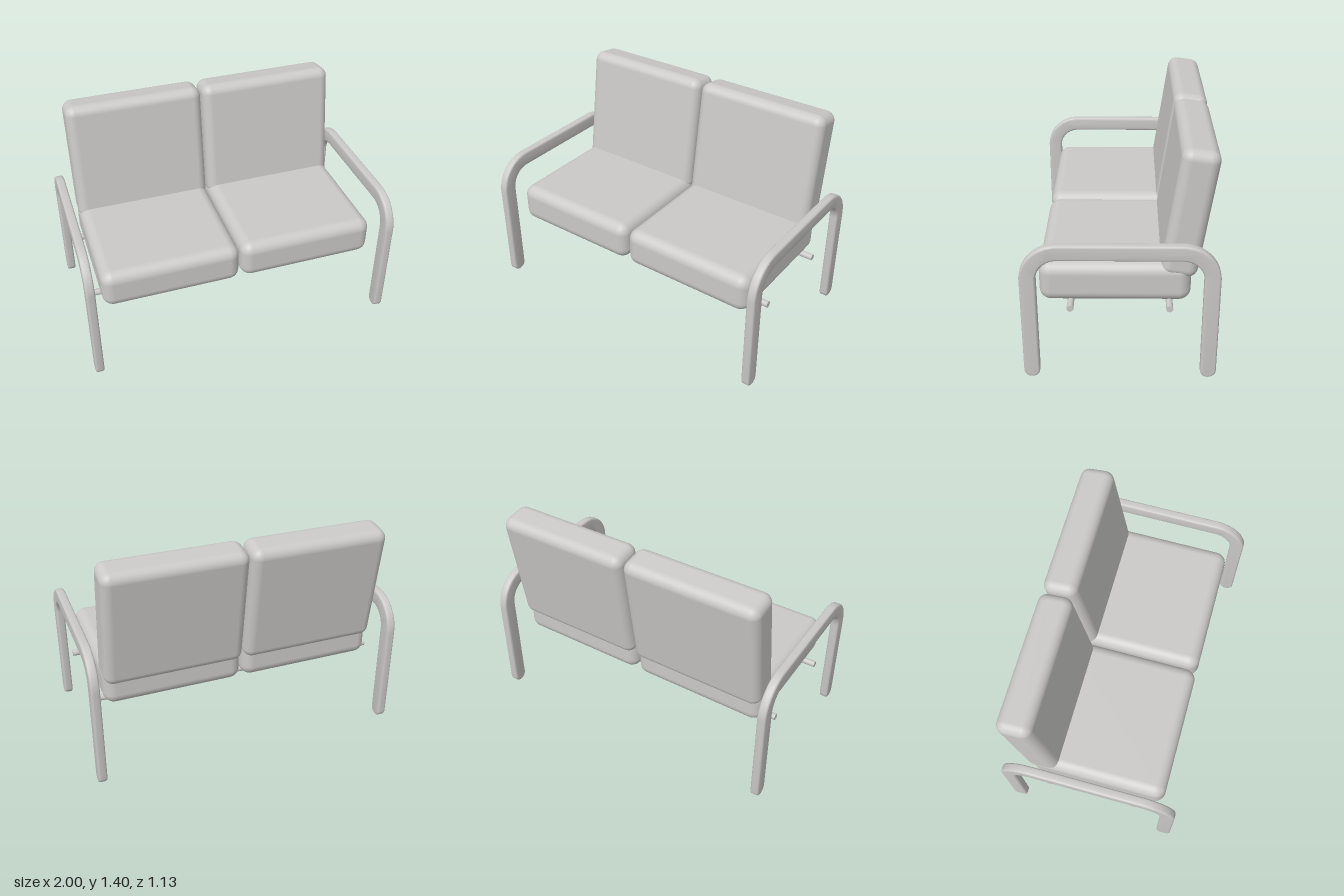
import * as THREE from 'three';
import { toCreasedNormals } from 'three/addons/utils/BufferGeometryUtils.js';
import { RoundedBoxGeometry } from 'three/addons/geometries/RoundedBoxGeometry.js';

// Flat looped side frame: two legs joined by a rounded armrest, lying at x = 0.945..1
function armGeometry() {
  const W = 0.565, H = 0.886, R = 0.22, r = 0.047, bevel = 0.013, thick = 0.055;
  const s = new THREE.Shape();
  s.absarc(-W + R, H - R, R, Math.PI, Math.PI / 2, true); // outer corners
  s.absarc(W - R, H - R, R, Math.PI / 2, 0, true);
  s.absarc(W - r, r, r, 0, -Math.PI, true); // rounded foot
  s.absarc(W - R, H - R, R - 2 * r, 0, Math.PI / 2, false); // inner corners
  s.absarc(-W + R, H - R, R - 2 * r, Math.PI / 2, Math.PI, false);
  s.absarc(-W + r, r, r, 0, -Math.PI, true); // rounded foot
  s.closePath();
  const g = new THREE.ExtrudeGeometry(s, {
    depth: thick - 2 * bevel, bevelEnabled: true, bevelThickness: bevel,
    bevelSize: bevel, bevelOffset: -bevel, bevelSegments: 4, curveSegments: 14,
  });
  g.translate(0, 0, 1 - thick + bevel);
  g.rotateY(Math.PI / 2);
  return toCreasedNormals(g, 0.5);
}

export function createModel() {
  const model = new THREE.Group();
  model.name = 'twoSeatSofa';
  const grey = new THREE.MeshStandardMaterial({ color: 0xcac9c7 });
  grey.name = 'light grey';

  const add = (name, geometry, x, y, z) => {
    const mesh = new THREE.Mesh(geometry, grey);
    mesh.name = name;
    mesh.position.set(x, y, z);
    model.add(mesh);
    return mesh;
  };

  const arm = armGeometry();
  const seat = new RoundedBoxGeometry(0.883, 0.253, 0.88, 5, 0.07);
  const back = new RoundedBoxGeometry(0.883, 0.787, 0.218, 5, 0.06);

  // Arms and cushions, one set per side
  for (const [side, sx] of [['left', 1], ['right', -1]]) {
    add(side + 'Arm', arm, 0, 0, 0).rotation.y = sx > 0 ? 0 : Math.PI;
    add(side + 'SeatCushion', seat, sx * 0.447, 0.574, 0.03);
    add(side + 'BackCushion', back, sx * 0.447, 1.003, -0.387).rotation.x = -0.145;
  }

  // Cross rods under the seats
  const rod = new THREE.CylinderGeometry(0.02, 0.02, 1.892, 20);
  rod.rotateZ(Math.PI / 2);
  add('frontRod', rod, 0, 0.446, 0.287);
  add('backRod', rod, 0, 0.446, -0.285);

  return model;
}
